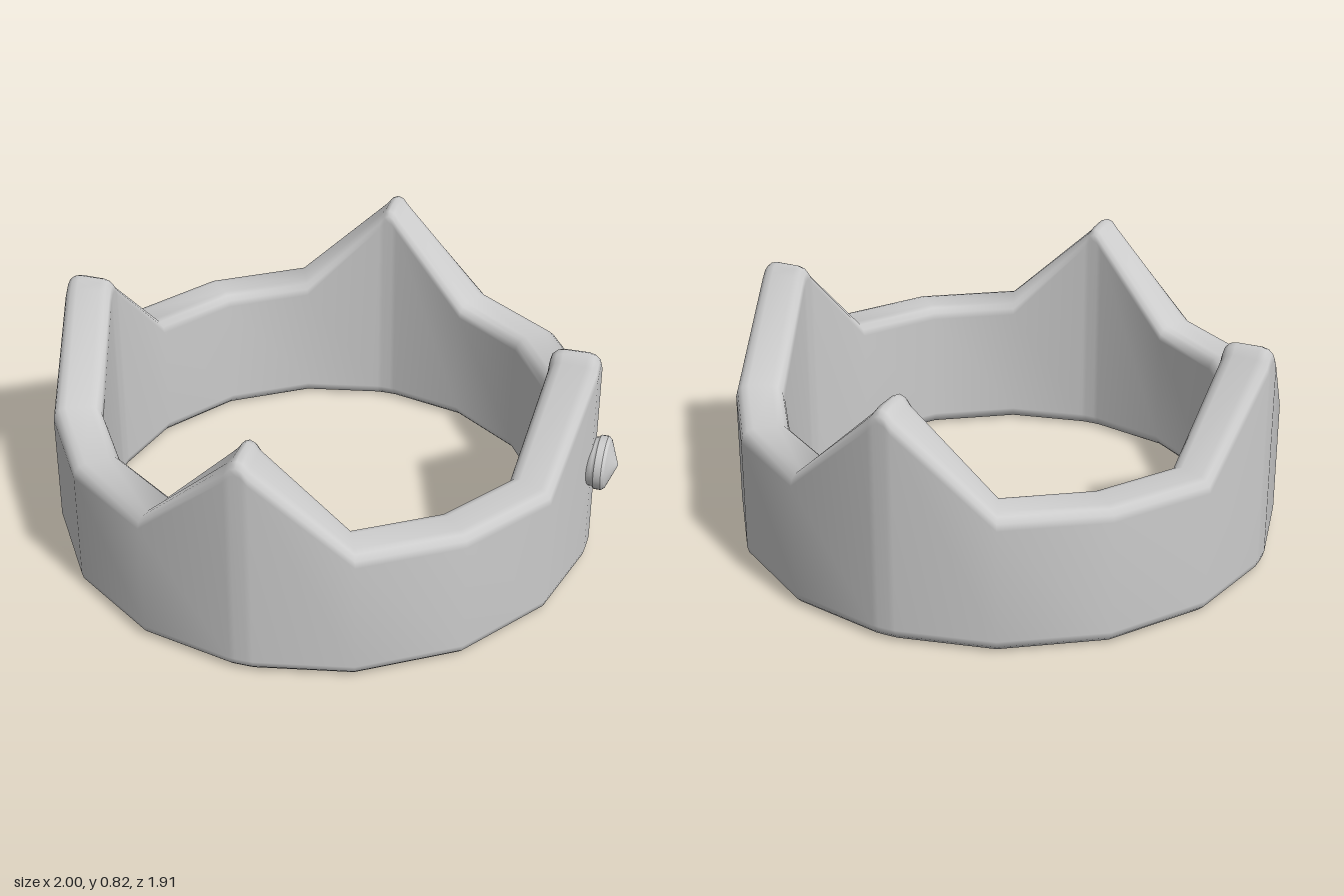
import * as THREE from 'three';

const OUTER = 0.957, INNER = 0.785, LOW = 0.49, PEAK = 0.82, CENTER_X = -0.043;
const grey = () => new THREE.MeshStandardMaterial({ color: 0xcccccc });

// Rounded wall section as [radius, height] pairs, counted up the outside and down the inside
function wallSection(outer, inner, top) {
  const b = 0.045, points = [];
  const corner = (r, y, start) => {
    for (let i = 0; i <= 3; i++) {
      const a = start + (i / 3) * Math.PI / 2;
      points.push([r + b * Math.cos(a), y + b * Math.sin(a)]);
    }
  };
  corner(outer - b, b, -Math.PI / 2);
  corner(outer - b, top - b, 0);
  corner(inner + b, top - b, Math.PI / 2);
  corner(inner + b, b, Math.PI);
  return points;
}

// Sixteen-sided band whose top edge rises to four pointed peaks
function bandGeometry() {
  const stations = [];
  for (let q = 0; q < 4; q++) {
    const base = q * 90;
    stations.push([base, PEAK, 1], [base + 1.2, 0.812, 1], [base + 2.4, 0.787, 1]);
    for (const a of [22.5, 45, 67.5]) stations.push([base + a, LOW, 1]);
    stations.push([base + 87.6, 0.787, 1], [base + 88.8, 0.812, 1]);
  }
  const position = [], index = [];
  let n = 0;
  for (const [degrees, top] of stations) {
    const a = THREE.MathUtils.degToRad(degrees);
    const section = wallSection(OUTER, INNER, top);
    n = section.length;
    for (const [r, y] of section) position.push(r * Math.sin(a), y, r * Math.cos(a));
  }
  const m = stations.length;
  for (let i = 0; i < m; i++) {
    for (let j = 0; j < n; j++) {
      const i2 = (i + 1) % m, j2 = (j + 1) % n;
      const a = i * n + j, b = i2 * n + j, c = i2 * n + j2, d = i * n + j2;
      index.push(a, b, d, b, c, d);
    }
  }
  const geometry = new THREE.BufferGeometry();
  geometry.setAttribute('position', new THREE.Float32BufferAttribute(position, 3));
  geometry.setIndex(index);
  geometry.computeVertexNormals();
  return geometry;
}

export function createModel() {
  const model = new THREE.Group();
  model.name = 'crownRing';

  const band = new THREE.Mesh(bandGeometry(), grey());
  band.name = 'peakedBand';
  band.position.x = CENTER_X;
  model.add(band);

  // Round stud with a shallow conical face on the left side
  const profile = [[0, 0], [0.085, 0], [0.085, 0.03], [0.094, 0.04], [0.094, 0.04], [0.094, 0.065],
    [0.094, 0.065], [0.085, 0.075], [0.085, 0.075], [0, 0.11]];
  const stud = new THREE.Mesh(
    new THREE.LatheGeometry(profile.map(([r, y]) => new THREE.Vector2(r, y)), 32), grey());
  stud.name = 'stud';
  stud.rotation.z = -Math.PI / 2;
  stud.position.set(0.89, 0.395, 0);
  model.add(stud);

  return model;
}
